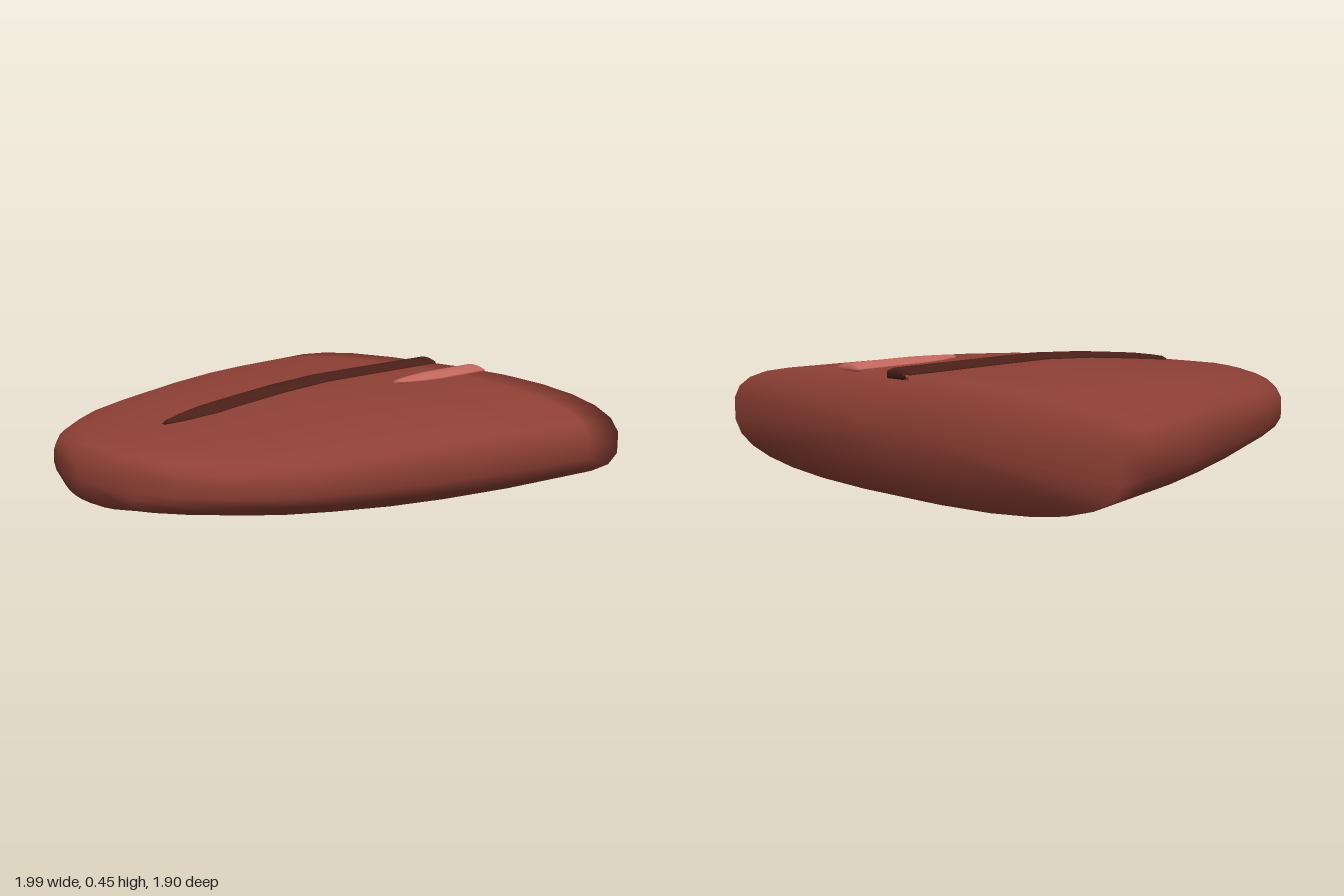
import * as THREE from 'three';

// Hull stations from back to front: z, half width, half height
const STATIONS = [
  [-0.95, 1.0, 0.217], [-0.78, 0.972, 0.217], [-0.47, 0.92, 0.217], [-0.25, 0.865, 0.216],
  [0, 0.805, 0.202], [0.26, 0.735, 0.178], [0.45, 0.67, 0.158], [0.58, 0.59, 0.144],
  [0.71, 0.49, 0.129], [0.81, 0.37, 0.116], [0.88, 0.22, 0.107],
];
const MID_Y = 0.217;
const SIDES = 28;
const POWER = 2.7;

// Superelliptic ring; half-step start leaves a flat facet on each side
function ring(cx, cy, z, w, h, sides = SIDES, power = POWER) {
  const root = (v) => Math.sign(v) * Math.abs(v) ** (2 / power);
  return Array.from({ length: sides }, (_, j) => {
    const a = ((j + 0.5) / sides) * Math.PI * 2;
    return [cx + w * root(Math.cos(a)), cy + h * root(Math.sin(a)), z];
  });
}

// Skin over rings running back to front, closed by a fan at each end
function loft(rings, backPoint, tipPoint) {
  const n = rings[0].length;
  const last = (rings.length - 1) * n;
  const back = rings.length * n;
  const tip = back + 1;
  const index = [];
  for (let j = 0; j < n; j++) {
    const k = (j + 1) % n;
    for (let r = 0; r < last; r += n) {
      index.push(r + j, r + k, r + n + k, r + j, r + n + k, r + n + j);
    }
    index.push(back, k, j, tip, last + j, last + k);
  }
  const geometry = new THREE.BufferGeometry();
  const points = [...rings.flat(), backPoint, tipPoint].flat();
  geometry.setAttribute('position', new THREE.Float32BufferAttribute(points, 3));
  geometry.setIndex(index);
  geometry.computeVertexNormals();
  return geometry;
}

// Height of the hull's upper surface at a point
function deckY(x, z) {
  let i = 0;
  while (i < STATIONS.length - 2 && STATIONS[i + 1][0] < z) i++;
  const [z0, w0, h0] = STATIONS[i];
  const [z1, w1, h1] = STATIONS[i + 1];
  const t = (z - z0) / (z1 - z0);
  const w = THREE.MathUtils.lerp(w0, w1, t);
  const h = THREE.MathUtils.lerp(h0, h1, t);
  return MID_Y + h * (1 - Math.abs(x / w) ** POWER) ** (1 / POWER);
}

// Raised strip that follows the deck and narrows to a point at the front
function strip(cx, halfWidth, rise, depth, shoulderZ, tipZ) {
  const section = (z, s) => {
    const y = deckY(cx, z);
    const top = y + rise * (0.5 + 0.5 * s);
    const edge = y + rise * 0.25;
    const low = y - depth * s;
    const w = halfWidth * s;
    return [
      [cx + w, low, z], [cx + w, edge, z], [cx + w * 0.4, top - rise * 0.12, z], [cx, top, z],
      [cx - w * 0.4, top - rise * 0.12, z], [cx - w, edge, z], [cx - w, low, z],
    ];
  };
  const zs = STATIONS.map((s) => s[0]).filter((z) => z < shoulderZ - 0.03);
  const rings = zs.map((z) => section(z, 1));
  rings.push(section(shoulderZ, 1));
  rings.push(section(THREE.MathUtils.lerp(shoulderZ, tipZ, 0.5), 0.68));
  rings.push(section(THREE.MathUtils.lerp(shoulderZ, tipZ, 0.85), 0.3));
  return loft(rings, [cx, deckY(cx, -0.95), -0.95], [cx, deckY(cx, tipZ) + 0.003, tipZ]);
}

function part(name, geometry, color) {
  const mesh = new THREE.Mesh(geometry, new THREE.MeshStandardMaterial({ color }));
  mesh.name = name;
  return mesh;
}

export function createModel() {
  const model = new THREE.Group();
  model.name = 'taperedShell';

  // Broad rounded body with a blunt back and a pointed nose
  const rings = STATIONS.map(([z, w, h]) => ring(0, MID_Y, z, w, h));
  model.add(part('body', loft(rings, [0, MID_Y, -0.95], [0, MID_Y, 0.95]), 0x8e4035));

  // Long dark ridge on the centre line
  model.add(part('centreRidge', strip(0, 0.062, 0.022, 0.02, 0.36, 0.58), 0x4a2018));

  // Short pale streak beside the ridge
  model.add(part('paleStreak', strip(0.267, 0.064, 0.02, 0.008, -0.64, -0.415), 0xc4685e));

  return model;
}
